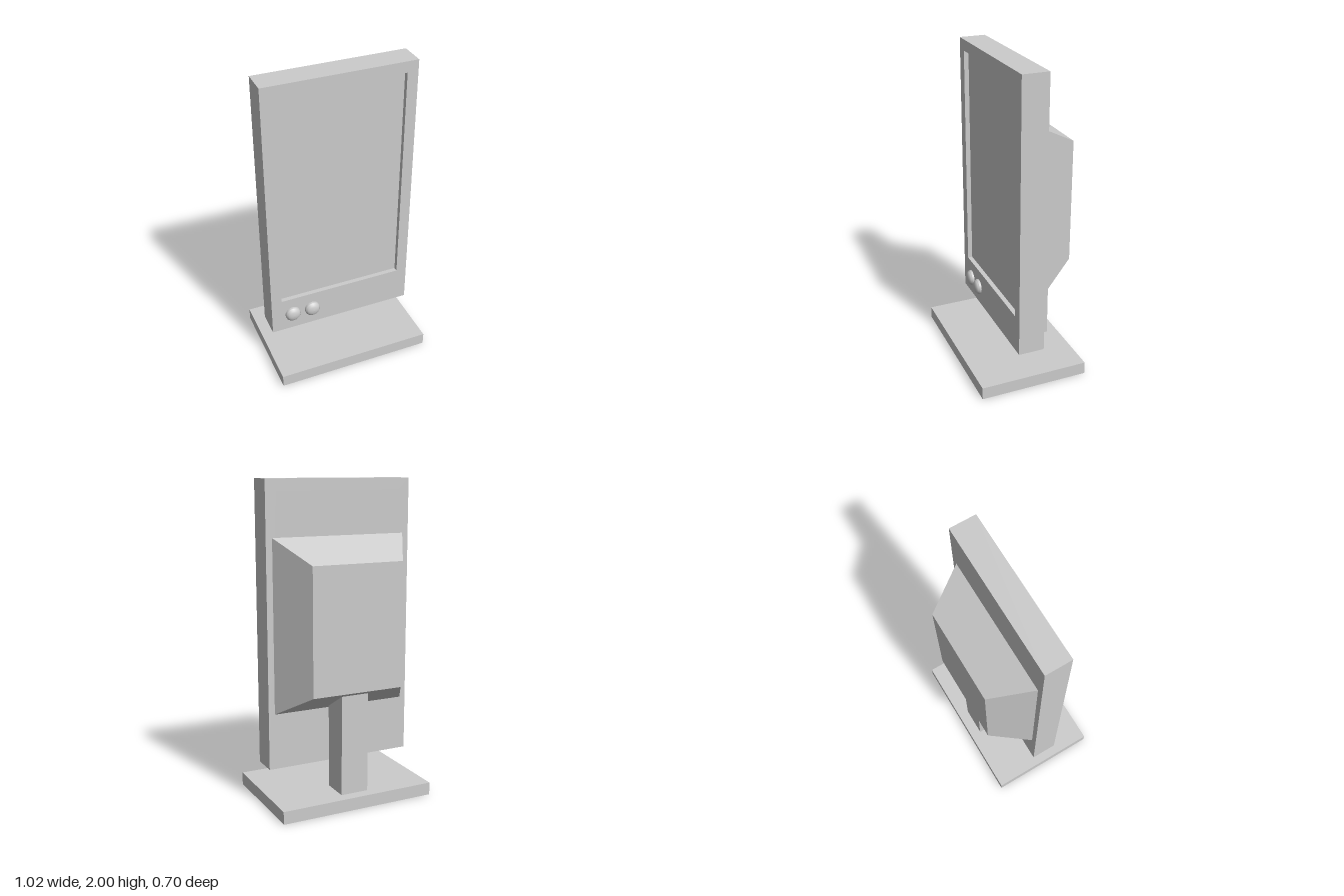
import * as THREE from 'three';

export function createModel() {
  const group = new THREE.Group();
  const material = new THREE.MeshStandardMaterial({ color: 0xcccccc });

  const add = (name, geometry, x = 0, y = 0, z = 0) => {
    const mesh = new THREE.Mesh(geometry, material);
    mesh.name = name;
    mesh.position.set(x, y, z);
    group.add(mesh);
    return mesh;
  };
  // Box given by its extents on each axis
  const addBox = (name, [x0, x1], [y0, y1], [z0, z1]) =>
    add(name, new THREE.BoxGeometry(x1 - x0, y1 - y0, z1 - z0),
      (x0 + x1) / 2, (y0 + y1) / 2, (z0 + z1) / 2);
  const rectangle = (target, x, y0, y1) =>
    target.moveTo(-x, y0).lineTo(x, y0).lineTo(x, y1).lineTo(-x, y1).closePath();

  // Stand
  addBox('base', [-0.508, 0.508], [0, 0.08], [-0.35, 0.35]);
  addBox('standColumn', [-0.09, 0.09], [0.08, 0.75], [-0.28, -0.1]);

  // Frame around the screen opening
  const back = -0.07, front = 0.097, recess = 0.03;
  const outline = rectangle(new THREE.Shape(), 0.48, 0.24, 2);
  outline.holes.push(rectangle(new THREE.Path(), 0.41, 0.48, 1.93));
  add('screenFrame', new THREE.ExtrudeGeometry(outline,
    { depth: front - back, bevelEnabled: false }), 0, 0, back);

  // Recessed screen, filling the opening through to the back
  addBox('screen', [-0.41, 0.41], [0.48, 1.93], [back, front - recess]);

  // Rear housing, tapering towards the back
  const housing = new THREE.BoxGeometry(0.88, 1.07, 0.25);
  const p = housing.attributes.position;
  for (let i = 0; i < p.count; i++) {
    if (p.getZ(i) < 0) {
      p.setX(i, Math.sign(p.getX(i)) * 0.297);
      p.setY(i, Math.sign(p.getY(i)) * 0.39);
    }
  }
  housing.computeVertexNormals();
  add('rearHousing', housing, 0, 1.125, back - 0.125);

  // Domed control knobs with a short straight rim
  const profile = [new THREE.Vector2(0.051, -0.005), new THREE.Vector2(0.051, 0.013)];
  for (let i = 0; i <= 5; i++) {
    const a = (i / 5) * Math.PI / 2;
    profile.push(new THREE.Vector2(0.047 * Math.cos(a), 0.014 + 0.023 * Math.sin(a)));
  }
  const knob = new THREE.LatheGeometry(profile, 20).rotateX(Math.PI / 2);
  for (const [name, x] of [['rightKnob', -0.338], ['leftKnob', -0.203]]) {
    add(name, knob, x, 0.36, front);
  }

  return group;
}
